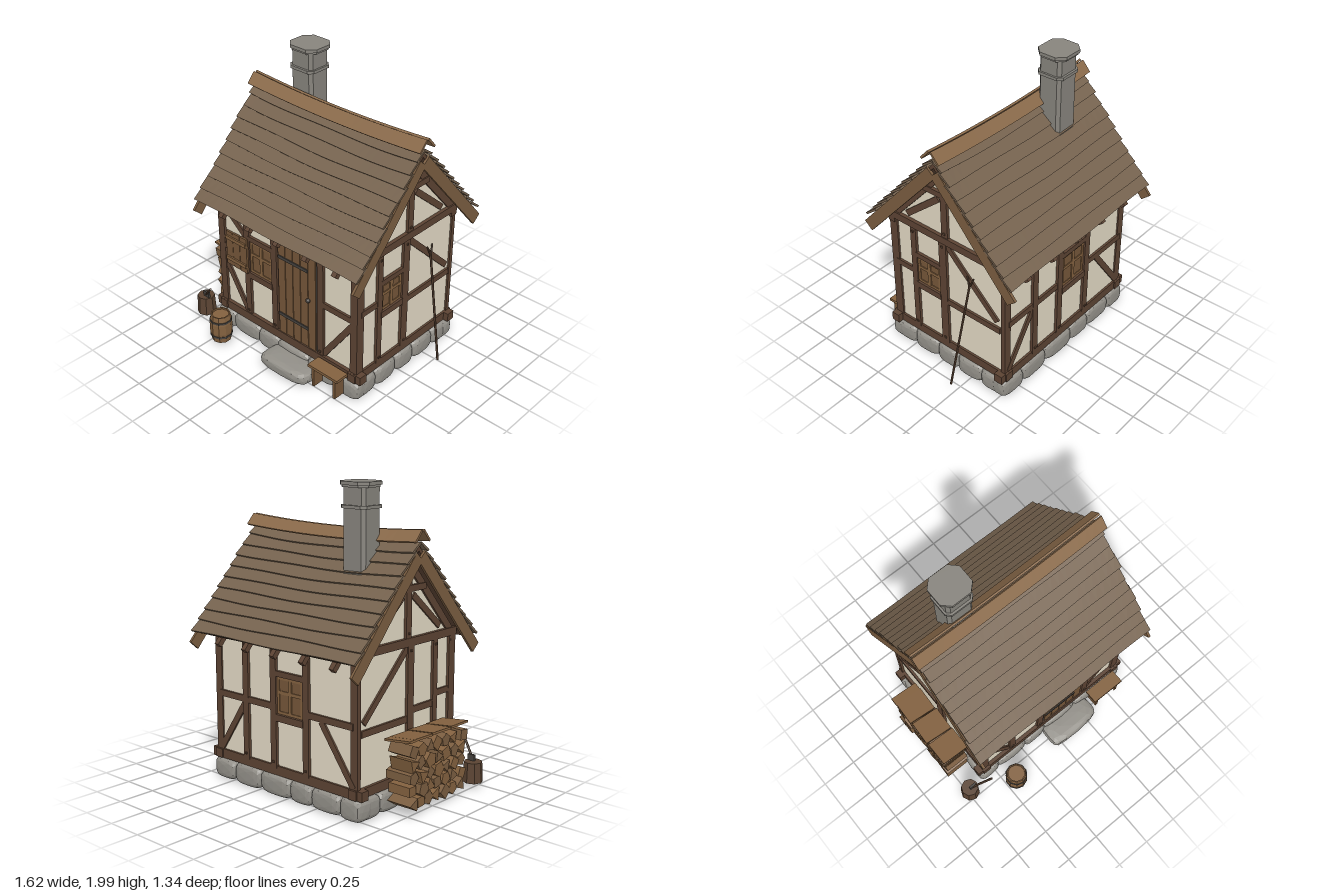
import * as THREE from 'three';

const mat = (color) => new THREE.MeshStandardMaterial({ color, flatShading: true });
const M = {
  timber: mat(0x5c4333), plaster: mat(0xe2d9c4), roof: mat(0x75624e), ridge: mat(0x8a6a4a),
  board: mat(0x7a5d40), door: mat(0x755639), iron: mat(0x46423e), stone: mat(0x928f88),
  chimney: mat(0x87847d), wood: mat(0x83613f), dark: mat(0x4b4a48), bark: mat(0x5b4433),
};
let seed = 7;
const rnd = (a = -1, b = 1) => {
  seed = (seed * 16807) % 2147483647;
  return a + (b - a) * seed / 2147483647;
};

function add(parent, name, geo, material, x = 0, y = 0, z = 0) {
  const m = new THREE.Mesh(geo, material);
  m.name = name;
  m.position.set(x, y, z);
  parent.add(m);
  return m;
}
const box = (p, name, material, w, h, d, x, y, z) => add(p, name, new THREE.BoxGeometry(w, h, d), material, x, y, z);
function group(parent, name, x = 0, y = 0, z = 0, ry = 0) {
  const g = new THREE.Group();
  g.name = name;
  g.position.set(x, y, z);
  g.rotation.y = ry;
  parent.add(g);
  return g;
}

// Beam lying on a wall plane between two points
function beam(p, u1, v1, u2, v2, w = 0.05, out = 0.016, name = 'beam', material = M.timber) {
  const m = box(p, name, material, Math.hypot(u2 - u1, v2 - v1), w, 0.04, (u1 + u2) / 2, (v1 + v2) / 2, out - 0.02);
  m.rotation.z = Math.atan2(v2 - v1, u2 - u1);
}
const post = (p, u, v1 = 0.2, v2 = 1, w = 0.05) => {
  beam(p, u, v1, u, v2, w, 0.019, 'post');
  for (const v of [v1 + 0.04, v2 - 0.04]) box(p, 'peg', M.bark, 0.014, 0.014, 0.01, u, v, 0.021);
};
const brace = (p, ...a) => beam(p, ...a, 0.042, 0.012, 'brace');

// Boarded window with a cross bar, sill and lintel
function windowAt(p, u0, u1, v0, v1) {
  const g = group(p, 'window', (u0 + u1) / 2, (v0 + v1) / 2, 0), w = u1 - u0, h = v1 - v0;
  box(g, 'windowPanel', M.door, w, h, 0.01, 0, 0, 0);
  for (const s of [-1, 1]) {
    box(g, 'windowFrame', M.wood, 0.018, h, 0.02, s * (w / 2 - 0.009), 0, 0);
    box(g, 'windowFrame', M.wood, w, 0.018, 0.02, 0, s * (h / 2 - 0.009), 0);
  }
  box(g, 'windowBar', M.wood, 0.026, h, 0.016, 0, 0, 0.004);
  box(g, 'windowBar', M.wood, w, 0.022, 0.014, 0, 0.02, 0.004);
  beam(p, u0 - 0.01, v0 - 0.025, u1 + 0.01, v0 - 0.025, 0.045, 0.024, 'windowSill');
  beam(p, u0 - 0.01, v1 + 0.018, u1 + 0.01, v1 + 0.018, 0.036, 0.02, 'lintel');
}

// Rounded, slightly irregular stone
function stone(p, name, x, y, z, w, h, d, material = M.stone) {
  const g = new THREE.IcosahedronGeometry(1, 2), a = g.attributes.position, k = rnd(0, 6);
  const f = (c) => Math.sign(c) * Math.abs(c) ** 0.55;
  for (let i = 0; i < a.count; i++) {
    const [X, Y, Z] = [a.getX(i), a.getY(i), a.getZ(i)];
    const j = 1 + 0.05 * Math.sin(3 * X + k) * Math.cos(4 * Z + k);
    a.setXYZ(i, f(X) * w / 2 * j, f(Y) * h / 2, f(Z) * d / 2 * j);
  }
  g.computeVertexNormals();
  return add(p, name, g, material, x, y, z);
}

// Sagging strip along the roof: d = distance down the slope, n = height above it
const ZR = -0.06, YR = 1.65, C = 0.664, S = 0.748;
function roofStrip(p, name, material, s, d0, d1, n0, n1, t, x0, x1, wob = 0) {
  const g = new THREE.BoxGeometry(x1 - x0, t, d1 - d0, 24, 1, 1), a = g.attributes.position, k = rnd(0, 6);
  for (let i = 0; i < a.count; i++) {
    const x = a.getX(i) + (x0 + x1) / 2;
    let d = (d0 + d1) / 2 + s * a.getZ(i);
    const q = (d - d0) / (d1 - d0), n = a.getY(i) + n0 + (n1 - n0) * q;
    d += wob * q * Math.sin(x * 7 + k);
    const sag = 0.025 * Math.max(0, 1 - d / 0.87) * (1 - ((x - 0.025) / 0.7) ** 2);
    a.setXYZ(i, x, YR - d * S + n * C - sag, ZR + s * (d * C + n * S));
  }
  g.computeVertexNormals();
  add(p, name, g, material);
}

// Chamfered square prism
function prism(p, name, w, d, c, y0, y1, x, z) {
  const a = w / 2, b = d / 2;
  const pts = [[a - c, -b], [a, c - b], [a, b - c], [a - c, b], [c - a, b], [-a, b - c], [-a, c - b], [c - a, -b]];
  const shape = new THREE.Shape(pts.map((q) => new THREE.Vector2(...q)));
  const g = new THREE.ExtrudeGeometry(shape, { depth: y1 - y0, bevelEnabled: false }).rotateX(-Math.PI / 2);
  add(p, name, g, M.chimney, x, y0, z);
}

// Round stick between two points
function stick(p, name, a, b, r, material = M.bark) {
  const A = new THREE.Vector3(...a), B = new THREE.Vector3(...b), dir = B.clone().sub(A);
  const m = add(p, name, new THREE.CylinderGeometry(r, r, dir.length(), 6), material);
  m.position.copy(A).add(B).multiplyScalar(0.5);
  m.quaternion.setFromUnitVectors(new THREE.Vector3(0, 1, 0), dir.normalize());
}

export function createModel() {
  seed = 7;
  const root = new THREE.Group();
  root.name = 'cottage';

  // Foundation
  const base = group(root, 'foundation');
  box(base, 'floorSlab', M.dark, 1.16, 0.12, 0.86, 0.025, 0.1, -0.055);
  const course = (lens, start, place) => lens.reduce((t, l) => (place(t + l / 2, l + 0.015), t + l), start);
  for (const z of [0.385, -0.49]) {
    course([0.16, 0.24, 0.18, 0.27, 0.24, 0.19], -0.62, (x, l) => stone(base, 'foundationStone', x, 0.083, z, l, 0.14 + rnd(0, 0.01), 0.13));
  }
  for (const x of [-0.56, 0.6]) {
    course([0.16, 0.2, 0.18, 0.2, 0.15], -0.5, (z, l) => stone(base, 'foundationStone', x, 0.083, z, 0.13, 0.14 + rnd(0, 0.01), l));
  }
  stone(base, 'doorStep', 0.13, 0.068, 0.5, 0.41, 0.1, 0.2);

  // Plaster body with gables
  const prof = [[0.52, 0.15], [0.52, 1.04], [0.06, 1.575], [-0.4, 1.04], [-0.4, 0.15]];
  const shape = new THREE.Shape(prof.map((q) => new THREE.Vector2(...q)));
  const body = new THREE.ExtrudeGeometry(shape, { depth: 1.2, bevelEnabled: false }).rotateY(Math.PI / 2);
  add(root, 'plasterWalls', body, M.plaster, -0.575);

  // Sills, wall plates and corner posts
  const frame = group(root, 'mainFrame');
  for (const z of [0.395, -0.505]) {
    box(frame, 'sillBeam', M.timber, 1.31, 0.062, 0.06, 0.022, 0.184, z);
    box(frame, 'wallPlate', M.timber, 1.24, 0.05, 0.05, 0.025, 1.0, z);
  }
  for (const x of [-0.565, 0.61]) {
    box(frame, 'sillBeam', M.timber, 0.06, 0.06, 0.98, x, 0.184, -0.055);
    box(frame, 'cornerPost', M.timber, 0.056, 0.84, 0.062, x, 0.6, 0.386);
    box(frame, 'cornerPost', M.timber, 0.056, 0.84, 0.03, x, 0.6, -0.515);
  }

  // Front wall
  const front = group(root, 'frontWall', 0, 0, 0.4);
  for (const u of [-0.325, -0.075, 0.33]) post(front, u);
  beam(front, -0.55, 0.67, -0.34, 0.67, 0.042);
  beam(front, 0.34, 0.61, 0.6, 0.61, 0.042);
  brace(front, -0.54, 0.98, -0.33, 0.8);
  brace(front, -0.56, 0.57, -0.34, 0.21);
  brace(front, 0.34, 0.21, 0.6, 0.58);
  windowAt(front, -0.3, -0.1, 0.56, 0.8);
  const shutter = group(front, 'openShutter', -0.407, 0.678, 0.028);
  for (const i of [-1, 0, 1]) box(shutter, 'shutterPlank', M.door, 0.062, 0.262 + 0.004 * i, 0.014, i * 0.065, 0, 0);
  for (const y of [-0.075, 0.085]) box(shutter, 'shutterBatten', M.wood, 0.185, 0.026, 0.012, 0, y, 0.012);

  // Door
  const door = group(front, 'door', 0.128, 0.59, 0.008);
  box(door, 'doorBacking', M.iron, 0.34, 0.76, 0.01, 0, 0, -0.002);
  for (let i = 0; i < 5; i++) box(door, 'doorPlank', M.door, 0.061, 0.75 - (i % 2) * 0.008, 0.02, (i - 2) * 0.066, 0, 0);
  for (const y of [-0.225, 0.22]) box(door, 'hingeStrap', M.iron, 0.26, 0.022, 0.008, -0.03, y, 0.013);
  add(door, 'doorKnob', new THREE.IcosahedronGeometry(0.016, 1), M.iron, 0.107, 0.005, 0.02);

  // Back wall
  const back = group(root, 'backWall', 0, 0, -0.52, Math.PI);
  for (const u of [-0.35, -0.1, 0.18]) post(back, u);
  for (const [a, b] of [[-0.6, -0.35], [-0.35, -0.1], [0.18, 0.56]]) beam(back, a, 0.6, b, 0.6, 0.042);
  brace(back, -0.6, 0.22, -0.36, 0.58);
  brace(back, 0.56, 0.22, 0.3, 0.58);
  windowAt(back, -0.07, 0.15, 0.56, 0.8);

  // Side walls with gable framing; m mirrors front and back
  for (const [name, x, ry, m] of [['leftWall', 0.625, Math.PI / 2, 1], ['rightWall', -0.575, -Math.PI / 2, -1]]) {
    const w = group(root, name, x, 0, 0, ry), F = (u) => u * m;
    post(w, F(-0.212), 0.2, 1.02, 0.045);
    post(w, F(0.035), 0.2, 1.02, 0.06);
    beam(w, F(-0.42), 1.035, F(0.53), 1.035, 0.052, 0.024, 'tieBeam');
    beam(w, F(-0.38), 0.66, F(-0.2), 0.66, 0.04);
    beam(w, F(0.03), 0.55, F(0.49), 0.55, 0.042);
    brace(w, F(0.06), 1.0, F(0.465), 0.61);
    if (m > 0) windowAt(w, -0.19, 0, 0.59, 0.785);
    else beam(w, F(-0.2), 0.6, F(0.03), 0.6, 0.042);
    post(w, F(0.06), 1.05, 1.54);
    beam(w, F(-0.1), 1.365, F(0.22), 1.365, 0.04, 0.022, 'collarBeam');
    for (const s of [-1, 1]) {
      brace(w, F(0.06 + s * 0.05), 1.32, F(0.06 + s * 0.32), 1.09);
      beam(w, F(0.06), 1.53, F(0.06 + s * 0.44), 1.035, 0.05, 0.014, 'gableRafter');
    }
  }

  // Roof: deck, shingle courses, ridge cap, barge boards, rafter tails
  const roof = group(root, 'roof');
  for (const s of [-1, 1]) {
    roofStrip(roof, 'roofDeck', M.timber, s, 0.02, 0.85, -0.022, -0.022, 0.022, -0.66, 0.71);
    for (let i = 0; i < 10; i++) {
      roofStrip(roof, 'shingleCourse', M.roof, s, Math.max(0, i * 0.087 - 0.02), (i + 1) * 0.087, 0, 0.02, 0.014,
        -0.675 + rnd(-0.007, 0.007), 0.725 + rnd(-0.007, 0.007), 0.004);
    }
    roofStrip(roof, 'ridgeCap', M.ridge, s, -0.05, 0.04, 0.055, 0.055, 0.014, -0.69, 0.74);
    for (const x of [-0.668, 0.714]) {
      const b = box(roof, 'bargeBoard', M.board, 0.018, 0.078, 0.87, x, 1.243, ZR + s * 0.3);
      b.rotation.x = s * Math.atan2(S, C);
    }
    for (let i = 0; i < 5; i++) {
      const r = box(roof, 'rafterTail', M.timber, 0.036, 0.036, 0.16, -0.47 + i * 0.247, 1.0, ZR + s * 0.5);
      r.rotation.x = s * Math.atan2(S, C);
    }
  }

  // Chimney
  const chimney = group(root, 'chimney');
  prism(chimney, 'chimneyShaft', 0.18, 0.165, 0.02, 1.25, 1.97, -0.3, -0.165);
  prism(chimney, 'chimneyBand', 0.205, 0.195, 0.03, 1.838, 1.858, -0.3, -0.165);
  prism(chimney, 'chimneyCap', 0.215, 0.2, 0.045, 1.965, 1.98, -0.3, -0.17);
  prism(chimney, 'chimneyCap', 0.232, 0.218, 0.05, 1.978, 2.0, -0.3, -0.17);

  // Barrel
  const barrel = group(root, 'barrel', -0.43, 0.045, 0.588);
  const bp = [[0, 0], [0.066, 0], [0.076, 0.07], [0.076, 0.14], [0.066, 0.205], [0.058, 0.205], [0.058, 0.193], [0, 0.193]];
  add(barrel, 'barrelBody', new THREE.LatheGeometry(bp.map((q) => new THREE.Vector2(...q)), 10), M.wood);
  for (const y of [0.045, 0.16]) add(barrel, 'barrelHoop', new THREE.CylinderGeometry(0.077, 0.077, 0.014, 10), M.iron, 0, y, 0);

  // Bench
  const bench = group(root, 'bench', 0.46, 0, 0.49);
  box(bench, 'benchSeat', M.wood, 0.25, 0.02, 0.1, 0, 0.2, 0);
  for (const x of [-0.09, 0.09]) box(bench, 'benchLeg', M.door, 0.02, 0.15, 0.08, x, 0.12, 0);

  // Chopping block and axe
  const block = group(root, 'choppingBlock', -0.735, 0, 0.45);
  add(block, 'blockBody', new THREE.CylinderGeometry(0.06, 0.067, 0.135, 8), M.bark, 0, 0.112, 0);
  box(block, 'axeHead', M.iron, 0.05, 0.05, 0.016, 0.02, 0.195, 0.01);
  stick(block, 'axeHandle', [0.01, 0.19, 0.01], [0.14, 0.33, 0.075], 0.008);

  // Wood pile with plank cover
  const pile = group(root, 'woodPile');
  for (let r = 0; r < 5; r++) {
    for (let c = 0; c < 7; c++) {
      const rad = rnd(0.042, 0.052), len = rnd(0.16, 0.19);
      const log = add(pile, 'splitLog', new THREE.CylinderGeometry(rad, rad, len, 3 + (r + c) % 3), (r + c) % 2 ? M.wood : M.board,
        -0.705 + rnd(-0.008, 0.008), 0.093 + r * 0.083, -0.24 + c * 0.08);
      log.rotation.set(rnd(0, 6), 0, Math.PI / 2);
    }
  }
  for (let i = 0; i < 4; i++) {
    const b = box(pile, 'coverPlank', M.wood, 0.2, 0.014, i ? 0.17 : 0.06, -0.705, 0.492, i ? -0.345 + i * 0.18 : -0.272);
    b.rotation.set(0, rnd(-0.05, 0.05), -0.12);
  }

  // Forked pole leaning on the side wall
  const pole = group(root, 'leaningPole');
  stick(pole, 'poleShaft', [0.8, 0.05, -0.215], [0.655, 0.8, -0.265], 0.008);
  for (const z of [-0.29, -0.24]) stick(pole, 'poleTine', [0.657, 0.79, -0.264], [0.645, 0.86, z], 0.006);
  return root;
}
